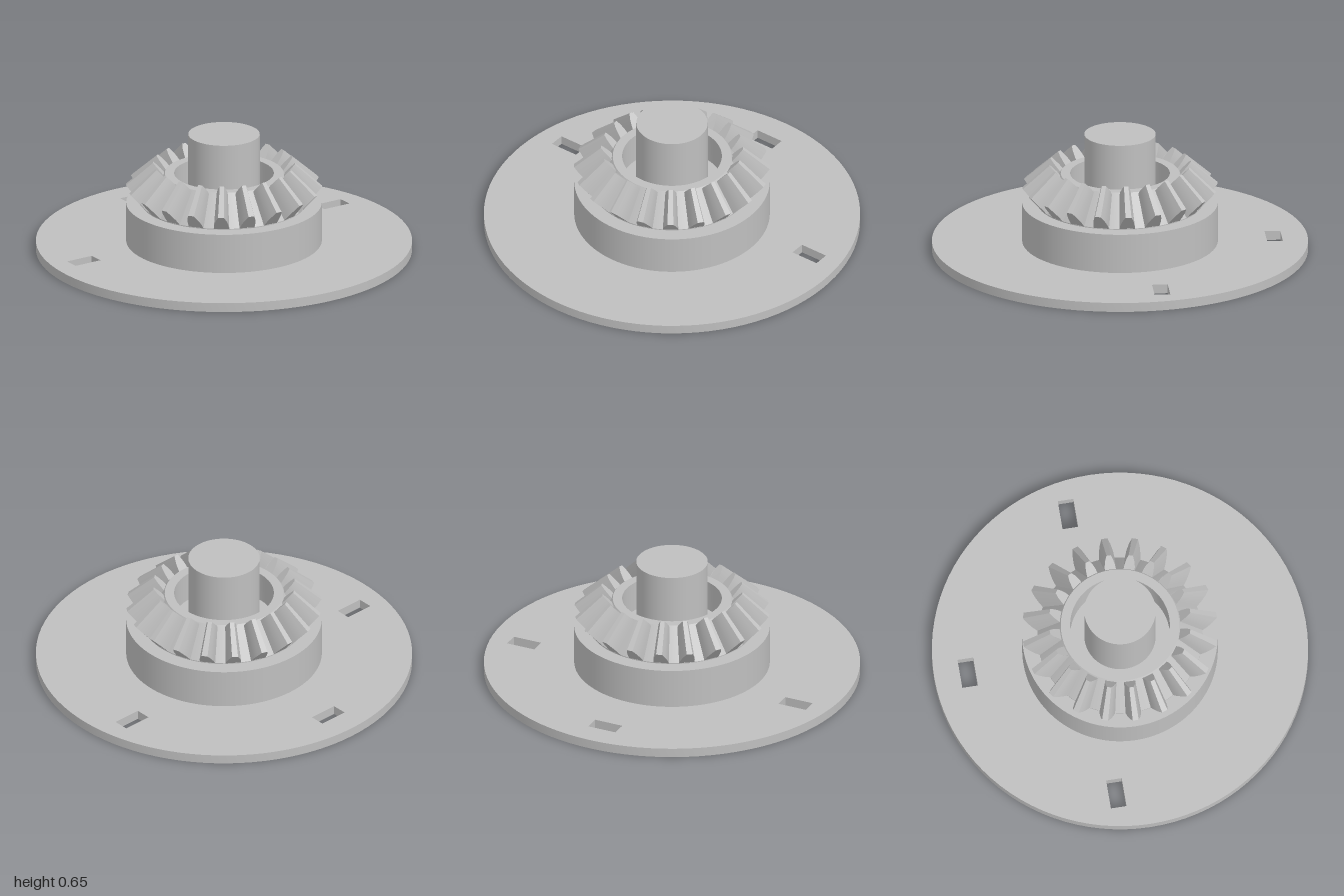
import * as THREE from 'three';
import { toCreasedNormals } from 'three/addons/utils/BufferGeometryUtils.js';

const TEETH = 20;
const APEX = 0.82;      // height where all tooth lines converge on the axis
const INNER = 0.725;    // inner tooth end as a fraction of the outer end

// One bevel tooth along +x: an outer cross-section tapered toward the apex
function toothGeometry() {
  // radius, height, half width; from below the root to the tip
  const profile = [[0.428, 0.257, 0.043], [0.465, 0.3, 0.038], [0.495, 0.332, 0.029], [0.52, 0.36, 0.016]];
  const loop = [
    ...profile.map(([r, y, w]) => [r, y, -w]),
    ...profile.slice().reverse().map(([r, y, w]) => [r, y, w]),
  ];
  const n = loop.length;
  const positions = [];
  for (const s of [1, INNER]) {
    for (const [r, y, z] of loop) positions.push(r * s, APEX + (y - APEX) * s, z * s);
  }
  const index = [];
  for (let i = 0; i < n; i++) {
    const j = (i + 1) % n;
    index.push(j, i, n + i, j, n + i, n + j);
    if (i > 0 && i < n - 1) index.push(0, i, i + 1, n, n + i + 1, n + i);
  }
  const geometry = new THREE.BufferGeometry();
  geometry.setAttribute('position', new THREE.Float32BufferAttribute(positions, 3));
  geometry.setIndex(index);
  return toCreasedNormals(geometry, 0.35);
}

// Round plate with three rectangular through slots
function plateGeometry() {
  const shape = new THREE.Shape().absarc(0, 0, 1, 0, Math.PI * 2, false);
  for (const [x, y] of [[-0.8, 0.15], [0.8, 0.15], [0, 0.82]]) {
    const w = 0.08, h = 0.042;
    shape.holes.push(new THREE.Path([
      new THREE.Vector2(x - w, y - h), new THREE.Vector2(x - w, y + h),
      new THREE.Vector2(x + w, y + h), new THREE.Vector2(x + w, y - h),
    ]));
  }
  const geometry = new THREE.ExtrudeGeometry(shape, { depth: 0.05, bevelEnabled: false, curveSegments: 48 });
  geometry.rotateX(-Math.PI / 2);
  return toCreasedNormals(geometry, 0.5);
}

export function createModel() {
  const model = new THREE.Group();
  model.name = 'bevelGearOnPlate';
  const grey = new THREE.MeshStandardMaterial({ color: 0xbfbfbf });
  grey.name = 'plain grey';

  const add = (name, geometry, parent = model) => {
    const mesh = new THREE.Mesh(geometry, grey);
    mesh.name = name;
    parent.add(mesh);
    return mesh;
  };
  const cylinder = (name, radius, y0, y1) => {
    add(name, new THREE.CylinderGeometry(radius, radius, y1 - y0, 96)).position.y = (y0 + y1) / 2;
  };

  add('basePlate', plateGeometry());
  cylinder('gearBase', 0.52, 0.05, 0.265);
  cylinder('shaft', 0.19, 0.2, 0.65);

  // Gear: conical hub with an open bore, ringed by teeth
  const gear = new THREE.Group();
  gear.name = 'bevelGear';
  model.add(gear);
  const hub = [[0.265, 0.26], [0.44, 0.26], [0.44, 0.27], [0.315, 0.43], [0.265, 0.43], [0.265, 0.26]]
    .map(([r, y]) => new THREE.Vector2(r, y));
  add('gearHub', toCreasedNormals(new THREE.LatheGeometry(hub, 96), 0.4), gear);

  const tooth = toothGeometry();
  for (let i = 0; i < TEETH; i++) {
    add('gearTooth', tooth, gear).rotation.y = (i / TEETH) * Math.PI * 2;
  }
  return model;
}
